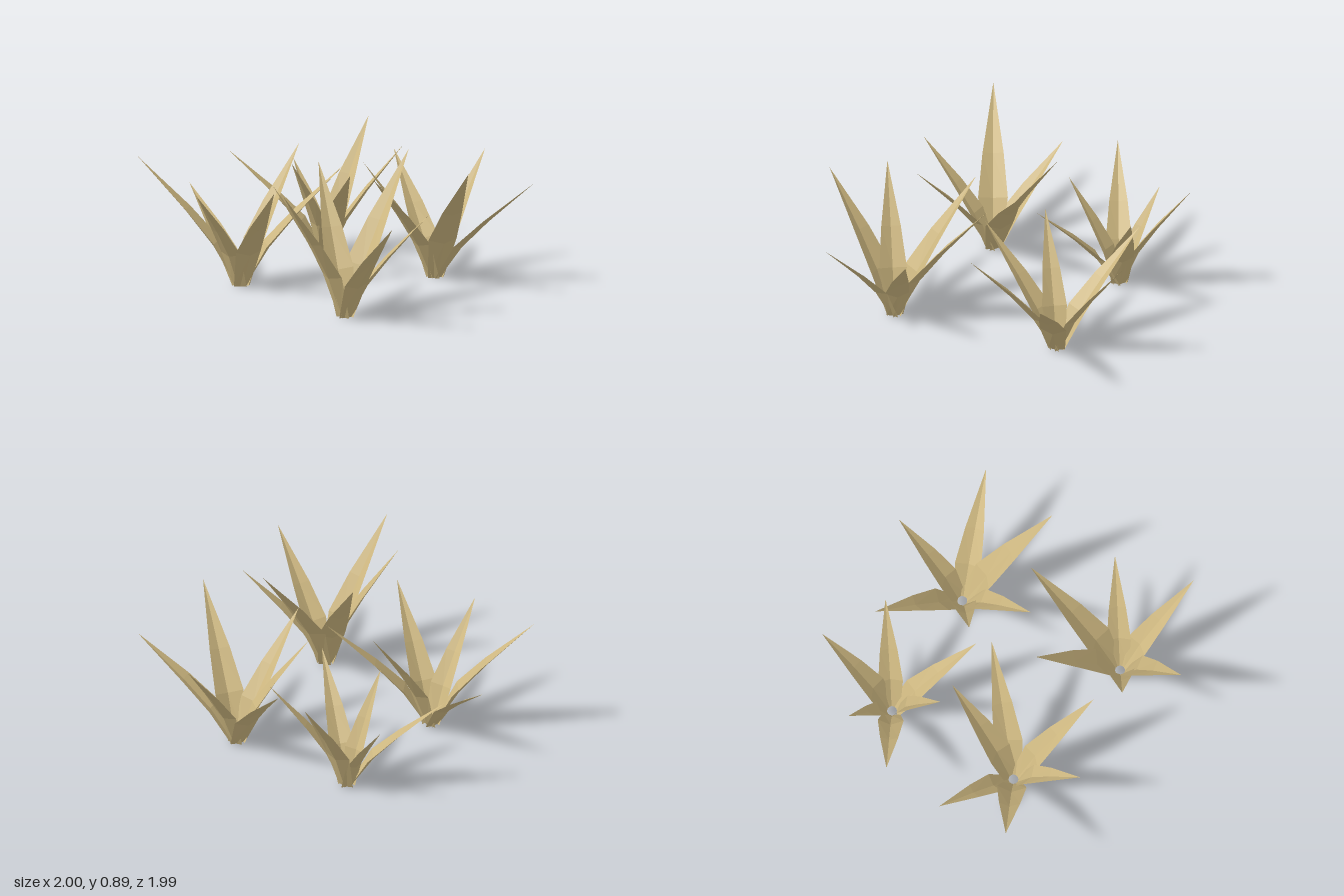
import * as THREE from 'three';

const leafMaterial = new THREE.MeshStandardMaterial({ color: 0xcdb780, flatShading: true, side: THREE.DoubleSide });
leafMaterial.name = 'dry straw';

// Each plant: centre [x, z] and its leaf tips [x, height, z]
const plants = [
  { name: 'backRightPlant', centre: [-0.31, -0.44], tips: [
    [-0.575, 0.76, -1.0], [-0.10, 0.50, -0.965], [0.16, 0.785, -0.35],
    [0.105, 0.73, 0.025], [-0.60, 0.70, 0.01], [-0.765, 0.65, -0.44]] },
  { name: 'backLeftPlant', centre: [0.53, -0.42], tips: [
    [0.27, 0.62, -0.945], [0.645, 0.52, -0.74], [0.995, 0.75, -0.44],
    [0.79, 0.68, -0.04], [0.19, 0.63, 0.0], [0.195, 0.635, -0.43]] },
  { name: 'frontRightPlant', centre: [-0.52, 0.47], tips: [
    [-0.745, 0.80, 0.10], [-0.19, 0.81, 0.04], [0.10, 0.895, 0.49],
    [-0.25, 0.63, 0.885], [-0.74, 0.665, 0.97], [-1.0, 0.83, 0.36]] },
  { name: 'frontLeftPlant', centre: [0.51, 0.39], tips: [
    [0.265, 0.705, 0.04], [0.81, 0.64, -0.125], [0.965, 0.695, 0.43],
    [0.685, 0.63, 0.985], [0.17, 0.785, 0.875], [-0.005, 0.70, 0.305]] },
];

// Leaf folded along its keel, pointing along +x: [reach, rise, half width, fold depth]
function leafGeometry(reach, height) {
  const length = Math.hypot(reach, height);
  const nx = -height / length, ny = reach / length;
  const rings = [
    [0.03, 0, 0.05, 0.02],
    [0.27 * reach, 0.31 * height, 0.09 * length, 0.035 * length],
    [0.54 * reach, 0.585 * height, 0.064 * length, 0.022 * length],
  ];
  const points = [], faces = [];
  rings.forEach(([x, y, w, d], i) => {
    // the base is cut level with the ground
    const wx = x + nx * d, wy = i ? y + ny * d : 0;
    points.push(wx, wy, w, x, y, 0, wx, wy, -w);
  });
  points.push(reach, height, 0);
  for (let i = 0; i < 3; i++) {
    for (let s = 0; s < 2; s++) {
      const a = i * 3 + s, b = a + 1;
      if (i < 2) faces.push(a, b, b + 3, a, b + 3, a + 3);
      else faces.push(a, b, 9);
    }
  }
  const indexed = new THREE.BufferGeometry();
  indexed.setAttribute('position', new THREE.Float32BufferAttribute(points, 3));
  // inner face of the leaf is the front
  indexed.setIndex(faces.reverse());
  const geometry = indexed.toNonIndexed();
  geometry.computeVertexNormals();
  return geometry;
}

export function createModel() {
  const model = new THREE.Group();
  model.name = 'spikyPlants';
  for (const { name, centre: [cx, cz], tips } of plants) {
    const plant = new THREE.Group();
    plant.name = name;
    plant.position.set(cx, 0, cz);
    for (const [x, y, z] of tips) {
      const dx = x - cx, dz = z - cz;
      const leaf = new THREE.Mesh(leafGeometry(Math.hypot(dx, dz), y), leafMaterial);
      leaf.name = 'leaf';
      leaf.rotation.y = Math.atan2(-dz, dx);
      plant.add(leaf);
    }
    model.add(plant);
  }
  return model;
}
